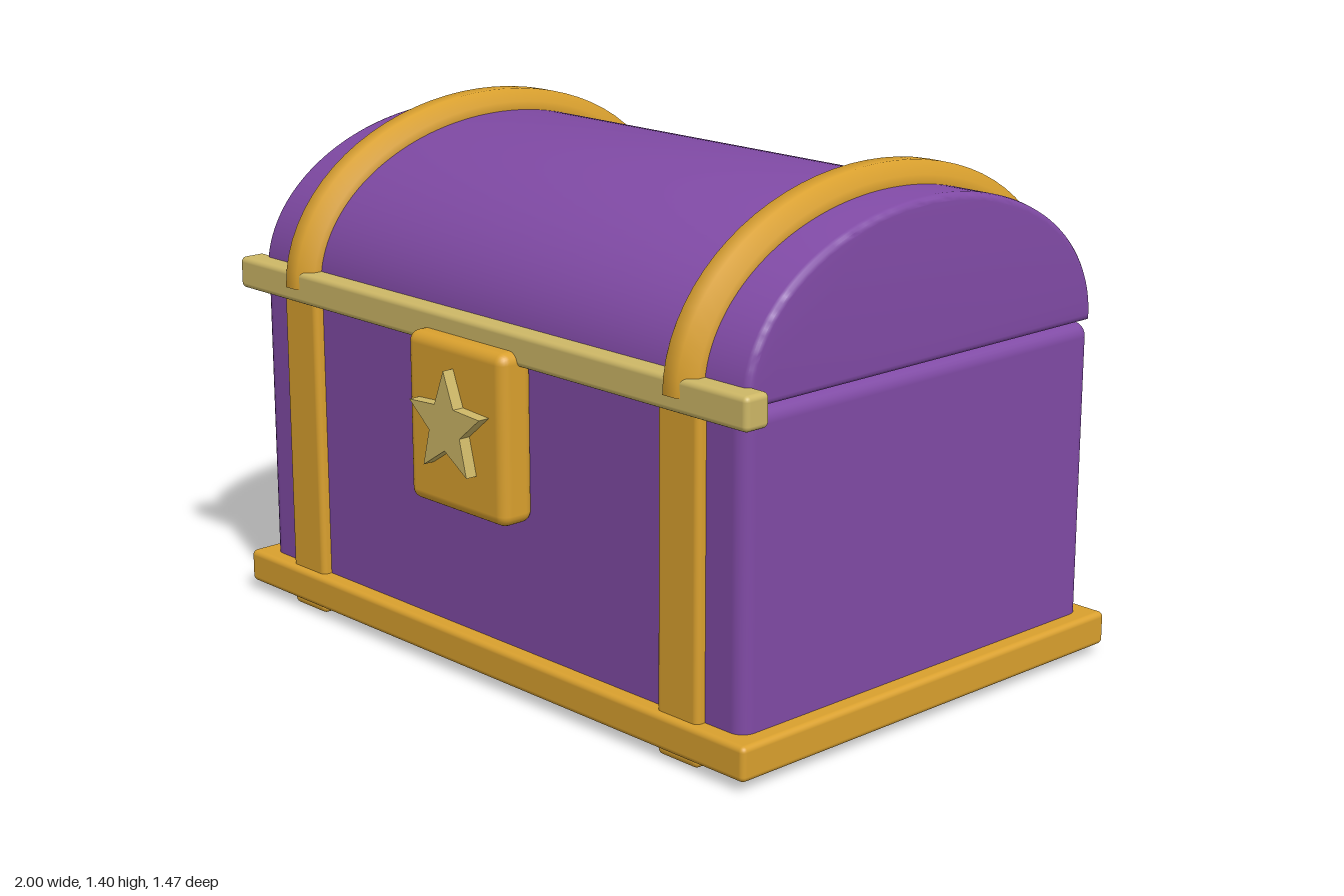
import * as THREE from 'three';
import { RoundedBoxGeometry } from 'three/addons/geometries/RoundedBoxGeometry.js';
import { toCreasedNormals } from 'three/addons/utils/BufferGeometryUtils.js';

const material = (name, color) => {
  const m = new THREE.MeshStandardMaterial({ color });
  m.name = name;
  return m;
};

// Lid arc: half ellipse in the side plane
const LID = { z: -0.035, y: 0.93, a: 0.637, b: 0.42 };

export function createModel() {
  const group = new THREE.Group();
  const purple = material('purple', 0x804aa5);
  const gold = material('gold', 0xd9a02e);
  const paleGold = material('pale gold', 0xcdb766);
  const doubleGold = gold;
  doubleGold.side = THREE.DoubleSide;

  const add = (name, geometry, mat) => {
    const mesh = new THREE.Mesh(geometry, mat);
    mesh.name = name;
    group.add(mesh);
    return mesh;
  };
  // Rounded box given by its limits on each axis
  const block = (name, mat, [x0, x1], [y0, y1], [z0, z1], radius) => {
    const g = new RoundedBoxGeometry(x1 - x0, y1 - y0, z1 - z0, 3, radius);
    g.translate((x0 + x1) / 2, (y0 + y1) / 2, (z0 + z1) / 2);
    return add(name, g, mat);
  };

  // Chest body and base
  block('body', purple, [-0.95, 0.95], [0.022, 0.928], [-0.675, 0.608], 0.04);
  block('base', gold, [-1, 1], [0.03, 0.122], [-0.722, 0.655], 0.015);

  // Domed lid with softened end edges
  const bevel = 0.018;
  const arc = new THREE.Shape();
  arc.absellipse(LID.z, LID.y + bevel, LID.a - bevel, LID.b - 2 * bevel, 0, Math.PI, false);
  arc.closePath();
  let lid = new THREE.ExtrudeGeometry(arc, {
    depth: 1.9 - 2 * bevel, curveSegments: 40,
    bevelThickness: bevel, bevelSize: bevel, bevelSegments: 3,
  });
  lid.translate(0, 0, -0.95 + bevel);
  lid.rotateY(-Math.PI / 2);
  lid = toCreasedNormals(lid, 0.6);
  add('lid', lid, purple);

  // Eight-sided hoop bent over the lid
  const hoopGeometry = () => {
    const sides = 8, steps = 36, r = 0.063;
    const g = new THREE.TorusGeometry(1, 0.1, sides, steps, Math.PI);
    const p = g.attributes.position;
    for (let j = 0, k = 0; j <= sides; j++) {
      const v = ((j + 0.5) / sides) * Math.PI * 2;
      for (let i = 0; i <= steps; i++, k++) {
        const u = (i / steps) * Math.PI;
        const n = new THREE.Vector2(Math.cos(u) / LID.a, Math.sin(u) / LID.b).normalize();
        const out = r * Math.cos(v);
        p.setXYZ(k,
          LID.z + LID.a * Math.cos(u) + n.x * out,
          LID.y + 0.007 + (LID.b - 0.007) * Math.sin(u) + n.y * out,
          r * Math.sin(v));
      }
    }
    g.rotateY(-Math.PI / 2);
    g.computeVertexNormals();
    return toCreasedNormals(g, 0.9);
  };

  // Straps around the body and hoops over the lid
  for (const [side, s] of [['left', 1], ['right', -1]]) {
    const x = 0.75 * s;
    block(side + 'Strap', gold, [x - 0.072, x + 0.072], [0.005, 0.932], [-0.7, 0.635], 0.016);
    add(side + 'Hoop', hoopGeometry(), doubleGold).position.x = x;
  }

  // Front rail and lock plate
  block('frontRail', paleGold, [-1, 1], [0.897, 0.985], [0.575, 0.654], 0.015);
  block('lockPlate', gold, [-0.192, 0.192], [0.48, 0.935], [0.6, 0.705], 0.03);

  // Star on the lock plate
  const points = [];
  for (let i = 0; i < 10; i++) {
    const a = Math.PI / 2 + (i * Math.PI) / 5;
    const r = i % 2 ? 0.064 : 0.147;
    points.push(new THREE.Vector2(r * Math.cos(a), r * Math.sin(a)));
  }
  const star = new THREE.ExtrudeGeometry(new THREE.Shape(points), { depth: 0.06, bevelEnabled: false });
  star.translate(0, 0.719, 0.678);
  add('star', star, paleGold);

  return group;
}
